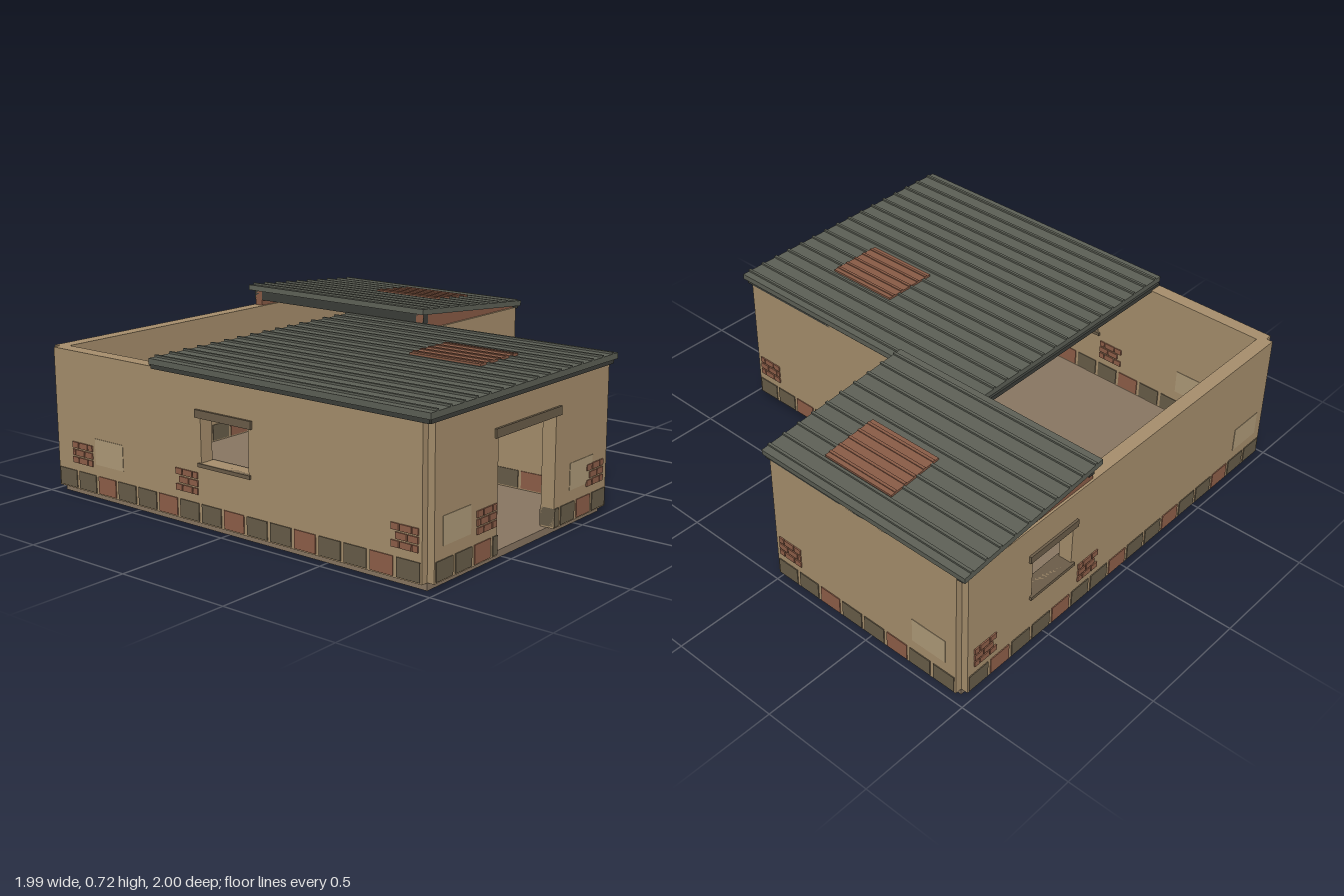
import * as THREE from 'three';

const mat = (color) => new THREE.MeshStandardMaterial({ color });
const M = {
  wall: mat(0xa58d6b), floor: mat(0x877561), stone: mat(0x675c48), brick: mat(0x8d5e48),
  plaster: mat(0xae9a78), timber: mat(0x6a5c48), roof: mat(0x5c5f55), trim: mat(0x3b3d38),
  rust: mat(0x875a45), cloth: mat(0x4c5148),
};
const BASE = 0.03, TOP = 0.62, THICK = 0.06;

// Box given by its minimum and maximum corners
function box(parent, name, m, [x0, y0, z0], [x1, y1, z1]) {
  const mesh = new THREE.Mesh(new THREE.BoxGeometry(x1 - x0, y1 - y0, z1 - z0), m);
  mesh.position.set((x0 + x1) / 2, (y0 + y1) / 2, (z0 + z1) / 2);
  mesh.name = name;
  parent.add(mesh);
  return mesh;
}

// Part running right through the wall and standing slightly proud of both faces
function through(parent, name, m, u0, u1, y0, y1, depth) {
  return box(parent, name, m, [u0, y0, -depth / 2], [u1, y1, depth / 2]);
}

// Wall in its own frame: u runs along the wall, the thickness is centred on local z
function wall({ name, from, to, x = 0, z = 0, along = 'x', windows = [], door, clusters = [], patches = [] }) {
  const g = new THREE.Group();
  g.name = name;
  g.position.set(x, 0, z);
  if (along === 'z') g.rotation.y = -Math.PI / 2;

  // Outline with the doorway cut from the bottom edge
  const s = new THREE.Shape();
  s.moveTo(from, BASE);
  if (door) {
    s.lineTo(door[0], BASE);
    s.lineTo(door[0], 0.48);
    s.lineTo(door[1], 0.48);
    s.lineTo(door[1], BASE);
    through(g, 'doorLintel', M.timber, door[0] - 0.025, door[1] + 0.025, 0.48, 0.515, 0.08);
  }
  s.lineTo(to, BASE);
  s.lineTo(to, TOP);
  s.lineTo(from, TOP);
  s.closePath();

  // Window openings with lintel and sill
  for (const [a, b] of windows) {
    const h = new THREE.Path();
    h.moveTo(a, 0.275);
    h.lineTo(a, 0.455);
    h.lineTo(b, 0.455);
    h.lineTo(b, 0.275);
    h.closePath();
    s.holes.push(h);
    through(g, 'windowLintel', M.timber, a - 0.022, b + 0.022, 0.455, 0.487, 0.08);
    through(g, 'windowSill', M.timber, a - 0.012, b + 0.012, 0.26, 0.275, 0.08);
  }
  const geo = new THREE.ExtrudeGeometry(s, { depth: THICK, bevelEnabled: false });
  geo.translate(0, 0, -THICK / 2);
  const body = new THREE.Mesh(geo, M.wall);
  body.name = 'wallBody';
  g.add(body);

  // Base course of stone and brick blocks
  const count = Math.round((to - from) / 0.12), step = (to - from) / count;
  for (let i = 0; i < count; i++) {
    let a = from + i * step + 0.008, b = a + step - 0.016;
    if (door) {
      if (a >= door[0] && b <= door[1]) continue;
      if (a < door[0] && b > door[0]) b = door[0];
      if (a < door[1] && b > door[1]) a = door[1];
    }
    through(g, 'baseBlock', i % 3 === 2 ? M.brick : M.stone, a, b, 0.036, 0.11, THICK + 0.008);
  }

  // Pale plaster repairs
  for (const c of patches) through(g, 'plasterPatch', M.plaster, c - 0.083, c + 0.083, 0.158, 0.268, THICK + 0.004);

  // Exposed brick, three staggered rows
  for (const c of clusters) {
    for (let r = 0; r < 3; r++) {
      const shift = r === 1 ? -0.015 : 0.005;
      for (let k = -1; k <= 1; k++) {
        const u = c + shift + k * 0.055;
        const a = Math.max(u - 0.025, c - 0.06), b = Math.min(u + 0.025, c + 0.06);
        if (b - a > 0.015) through(g, 'exposedBrick', M.brick, a, b, 0.145 + r * 0.032, 0.17 + r * 0.032, THICK + 0.012);
      }
    }
  }
  return g;
}

// Ribbed metal roof, centred on its slab, with a rusty replacement sheet
function roof(name, w, d, ribs, patch) {
  const g = new THREE.Group();
  g.name = name;
  box(g, 'roofSheet', M.roof, [-w / 2, -0.012, -d / 2], [w / 2, 0.012, d / 2]);
  for (let i = 0; i < ribs; i++) {
    const u = -w / 2 + (i + 0.5) * w / ribs;
    box(g, 'roofRib', M.roof, [u - 0.006, 0.01, -d / 2], [u + 0.006, 0.02, d / 2]);
  }
  const [x0, x1, z0, z1] = patch;
  box(g, 'rustySheet', M.rust, [x0, 0.01, z0], [x1, 0.021, z1]);
  for (let i = 0; i < 5; i++) {
    const u = x0 + (i + 0.5) * (x1 - x0) / 5;
    box(g, 'rustyRib', M.rust, [u - 0.006, 0.02, z0], [u + 0.006, 0.025, z1]);
  }
  return g;
}

export function createModel() {
  const model = new THREE.Group();
  model.name = 'house';

  // Floor slabs of the main and side wings
  box(model, 'mainFloor', M.floor, [-0.955, 0, -0.955], [0.19, BASE, 0.955]);
  box(model, 'sideFloor', M.floor, [0.19, 0, -0.955], [0.955, BASE, 0]);

  // Walls, with the outer corners left notched
  const walls = [
    { name: 'frontWall', from: -0.955, to: 0.19, z: 0.955, door: [-0.575, -0.19], clusters: [-0.645, 0.1], patches: [-0.823, 0] },
    { name: 'mainSideWall', along: 'z', from: 0, to: 0.955, x: 0.19, clusters: [0.875], patches: [0.135] },
    { name: 'wingFrontWall', from: 0.19, to: 0.955, z: 0, windows: [[0.45, 0.68]], clusters: [0.375, 0.865], patches: [0.315, 0.81] },
    { name: 'wingSideWall', along: 'z', from: -0.955, to: 0, x: 0.955, clusters: [-0.08], patches: [-0.82] },
    { name: 'backWall', from: -0.955, to: 0.955, z: -0.955, windows: [[0.365, 0.6]], clusters: [0.26, 0.86], patches: [-0.83] },
    { name: 'leftOuterWall', along: 'z', from: -0.955, to: 0.955, x: -0.955, windows: [[-0.11, 0.14]], clusters: [-0.8, -0.19, 0.88], patches: [-0.64] },
  ];
  for (const w of walls) model.add(wall(w));

  // Flat main roof on its edge boards
  const mainRoof = roof('mainRoof', 1.23, 1.37, 16, [0.07, 0.325, 0.065, 0.405]);
  mainRoof.position.set(-0.385, 0.643, 0.315);
  model.add(mainRoof);
  for (const z of [-0.36, 0.97]) box(model, 'roofEdgeBoard', M.trim, [-0.985, 0.612, z - 0.02], [0.215, 0.632, z + 0.02]);
  for (const x of [-0.97, 0.2]) box(model, 'roofEdgeBoard', M.trim, [x - 0.02, 0.612, -0.37], [x + 0.02, 0.632, 0.985]);

  // Sloping side roof
  const sideRoof = roof('sideRoof', 0.765, 1.035, 10, [0, 0.255, -0.045, 0.3]);
  sideRoof.position.set(0.61, 0.669, -0.4825);
  sideRoof.rotation.z = -0.088;
  model.add(sideRoof);

  // Wedge gables and ridge beam under the slope
  const wedge = new THREE.Shape([[0.25, 0.615], [0.955, 0.615], [0.955, 0.63], [0.25, 0.69]].map((p) => new THREE.Vector2(...p)));
  for (const z of [0, -0.955]) {
    const geo = new THREE.ExtrudeGeometry(wedge, { depth: 0.04, bevelEnabled: false });
    const gable = new THREE.Mesh(geo, M.rust);
    gable.name = 'gable';
    gable.position.z = z - 0.02;
    model.add(gable);
  }
  box(model, 'ridgeBeam', M.trim, [0.25, 0.645, -0.98], [0.28, 0.688, 0.022]);
  box(model, 'wingEdgeBoard', M.trim, [0.945, 0.612, -0.985], [0.985, 0.63, 0.025]);

  // Bed beside the doorway
  const bed = new THREE.Group();
  bed.name = 'bed';
  box(bed, 'mattress', M.cloth, [-0.915, 0.11, 0.35], [-0.61, 0.185, 0.88]);
  box(bed, 'blanket', M.plaster, [-0.88, 0.185, 0.4], [-0.65, 0.2, 0.6]);
  for (const x of [-0.89, -0.635]) for (const z of [0.375, 0.855]) box(bed, 'bedLeg', M.timber, [x - 0.015, BASE, z - 0.015], [x + 0.015, 0.11, z + 0.015]);
  model.add(bed);

  return model;
}
